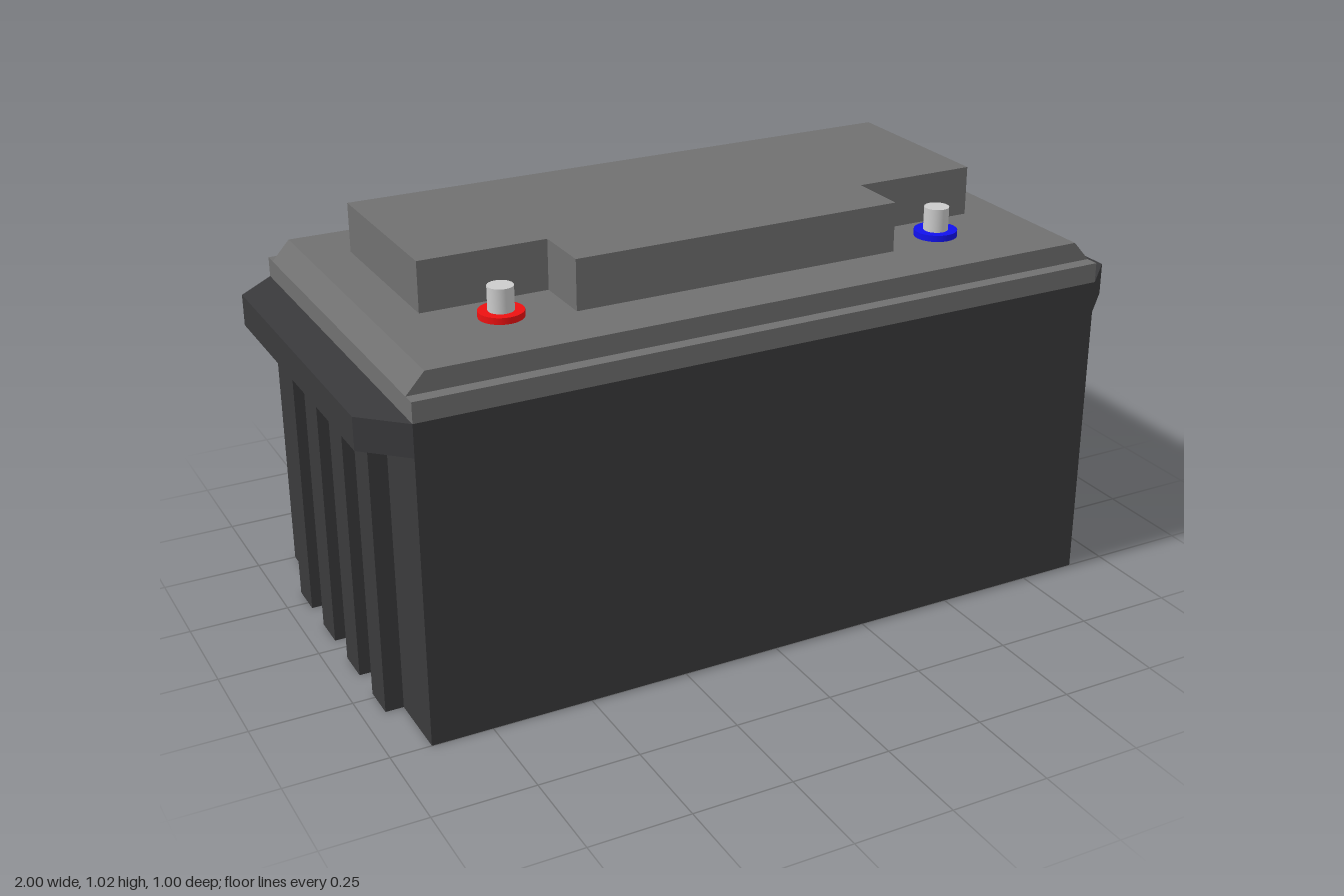
import * as THREE from 'three';

const paint = (color) => new THREE.MeshStandardMaterial({ color, flatShading: true });
const shapeOf = (points) => new THREE.Shape(points.map(([x, y]) => new THREE.Vector2(x, y)));

// Side profile (x, y) extruded along z, centred on z = 0
function alongZ(points, depth) {
  return new THREE.ExtrudeGeometry(shapeOf(points), { depth, bevelEnabled: false })
    .translate(0, 0, -depth / 2);
}

// Plan outline (x, z) extruded upwards from y0 to y1
function upward(points, y0, y1) {
  const outline = points.map(([x, z]) => [x, -z]);
  return new THREE.ExtrudeGeometry(shapeOf(outline), { depth: y1 - y0, bevelEnabled: false })
    .rotateX(-Math.PI / 2).translate(0, y0, 0);
}

export function createModel() {
  const model = new THREE.Group();
  const caseMat = paint(0x3a3a3c), lidMat = paint(0x707070);

  function add(name, geometry, material, parent = model) {
    const mesh = new THREE.Mesh(geometry, material);
    mesh.name = name;
    parent.add(mesh);
    return mesh;
  }

  // Case
  add('case', new THREE.BoxGeometry(1.8, 0.8, 1).translate(0, 0.4, 0), caseMat);

  // End rims with cut corners, and ribs that flare out to meet them
  const rim = [[0.9, 0.5], [1, 0.405], [1, -0.405], [0.9, -0.5]];
  const rib = [[0.9, 0], [0.945, 0], [0.945, 0.685], [1, 0.72], [0.9, 0.72]];
  for (const side of [1, -1]) {
    const mirror = (points) => points.map(([x, y]) => [x * side, y]);
    const end = new THREE.Group();
    end.name = side > 0 ? 'leftEnd' : 'rightEnd';
    model.add(end);
    add('rim', upward(mirror(rim), 0.72, 0.8), caseMat, end);
    for (let i = 0; i < 4; i++) {
      add('rib', alongZ(mirror(rib), 0.089), caseMat, end).position.z = 0.276 - i * 0.18;
    }
  }

  // Lid: flat base, raised step with sloped ends, notched top block
  add('lidBase', new THREE.BoxGeometry(1.8, 0.05, 1).translate(0, 0.825, 0), lidMat);
  add('lidStep', alongZ([[-0.9, 0.85], [0.9, 0.85], [0.855, 0.9], [-0.855, 0.9]], 0.932), lidMat);
  add('topBlock', upward([
    [-0.748, -0.309], [0.745, -0.309], [0.745, 0.154], [0.424, 0.154],
    [0.424, 0.308], [-0.428, 0.308], [-0.428, 0.154], [-0.748, 0.154],
  ], 0.9, 1.025), lidMat);

  // Terminals: coloured washer and metal post
  const postMat = new THREE.MeshStandardMaterial({ color: 0xcccccc });
  for (const [name, x, color] of [['redTerminal', -0.59, 0xee1111], ['blueTerminal', 0.584, 0x1111ee]]) {
    const terminal = new THREE.Group();
    terminal.name = name;
    terminal.position.set(x, 0.9, 0.255);
    model.add(terminal);
    const washerMat = new THREE.MeshStandardMaterial({ color });
    add('washer', new THREE.CylinderGeometry(0.054, 0.054, 0.016, 32).translate(0, 0.008, 0), washerMat, terminal);
    add('post', new THREE.CylinderGeometry(0.031, 0.031, 0.075, 32).translate(0, 0.0375, 0), postMat, terminal);
  }
  return model;
}
